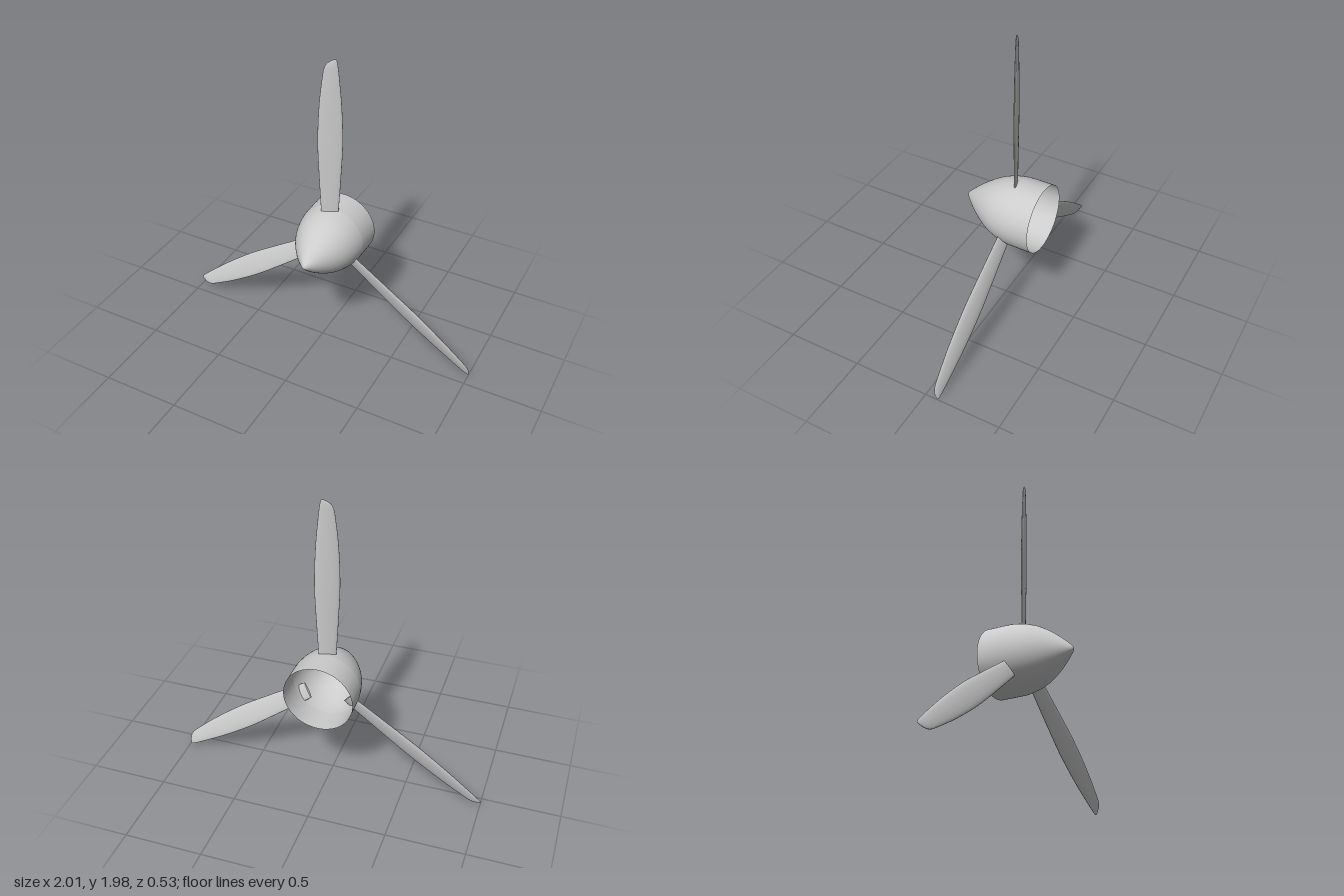
import * as THREE from 'three';

const material = new THREE.MeshStandardMaterial({ color: 0xcccccc });
const shellMaterial = new THREE.MeshStandardMaterial({ color: 0xcccccc, side: THREE.DoubleSide });

const PITCH = THREE.MathUtils.degToRad(21);
const SPREAD = THREE.MathUtils.degToRad(125.7);

// Blade outline: distance from the hub axis, left edge, right edge
const outline = new THREE.CatmullRomCurve3([
  [0.16, -0.048, 0.048], [0.22, -0.051, 0.051], [0.455, -0.062, 0.062],
  [0.695, -0.07, 0.07], [0.936, -0.062, 0.062], [1.096, -0.047, 0.049],
  [1.176, -0.035, 0.041], [1.205, -0.02, 0.037], [1.224, 0.004, 0.033], [1.233, 0.02, 0.028],
].map(p => new THREE.Vector3(...p)), false, 'centripetal');

// Elliptical sections lofted along the outline, then pitched
function bladeGeometry() {
  const geometry = new THREE.CylinderGeometry(1, 1, 1, 32, 72);
  const pos = geometry.attributes.position;
  for (let i = 0; i < pos.count; i++) {
    const t = THREE.MathUtils.clamp(pos.getY(i) + 0.5, 0, 1);
    const { x: radius, y: left, z: right } = outline.getPoint(t);
    const half = (right - left) / 2;
    const x = (left + right) / 2 + half * pos.getX(i);
    pos.setXYZ(i, x / Math.cos(PITCH), radius, pos.getZ(i) * half * 0.2);
  }
  geometry.rotateY(PITCH);
  geometry.computeVertexNormals();
  return geometry;
}

// Hollow pointed spinner, open at the back
function spinnerGeometry() {
  const nose = new THREE.SplineCurve([
    [0.219, -0.1], [0.211, -0.05], [0.198, 0], [0.178, 0.05], [0.15, 0.1],
    [0.115, 0.15], [0.074, 0.2], [0.026, 0.25], [0.012, 0.261], [0, 0.265],
  ].map(p => new THREE.Vector2(...p))).getPoints(48);
  nose[nose.length - 1].x = 0;
  const profile = [new THREE.Vector2(0.22, -0.265), new THREE.Vector2(0.22, -0.18), ...nose];
  return new THREE.LatheGeometry(profile, 64).rotateX(Math.PI / 2);
}

export function createModel() {
  const propeller = new THREE.Group();
  propeller.name = 'propeller';
  propeller.position.set(0.011, 0.747, 0);

  const spinner = new THREE.Mesh(spinnerGeometry(), shellMaterial);
  spinner.name = 'spinner';
  propeller.add(spinner);

  // Three identical blades around the spinner
  const geometry = bladeGeometry();
  [['topBlade', 0], ['rightBlade', SPREAD], ['leftBlade', -SPREAD]].forEach(([name, angle]) => {
    const blade = new THREE.Mesh(geometry, material);
    blade.name = name;
    blade.position.z = -0.073;
    blade.rotation.z = angle;
    propeller.add(blade);
  });

  const model = new THREE.Group();
  model.name = 'model';
  model.add(propeller);
  return model;
}
